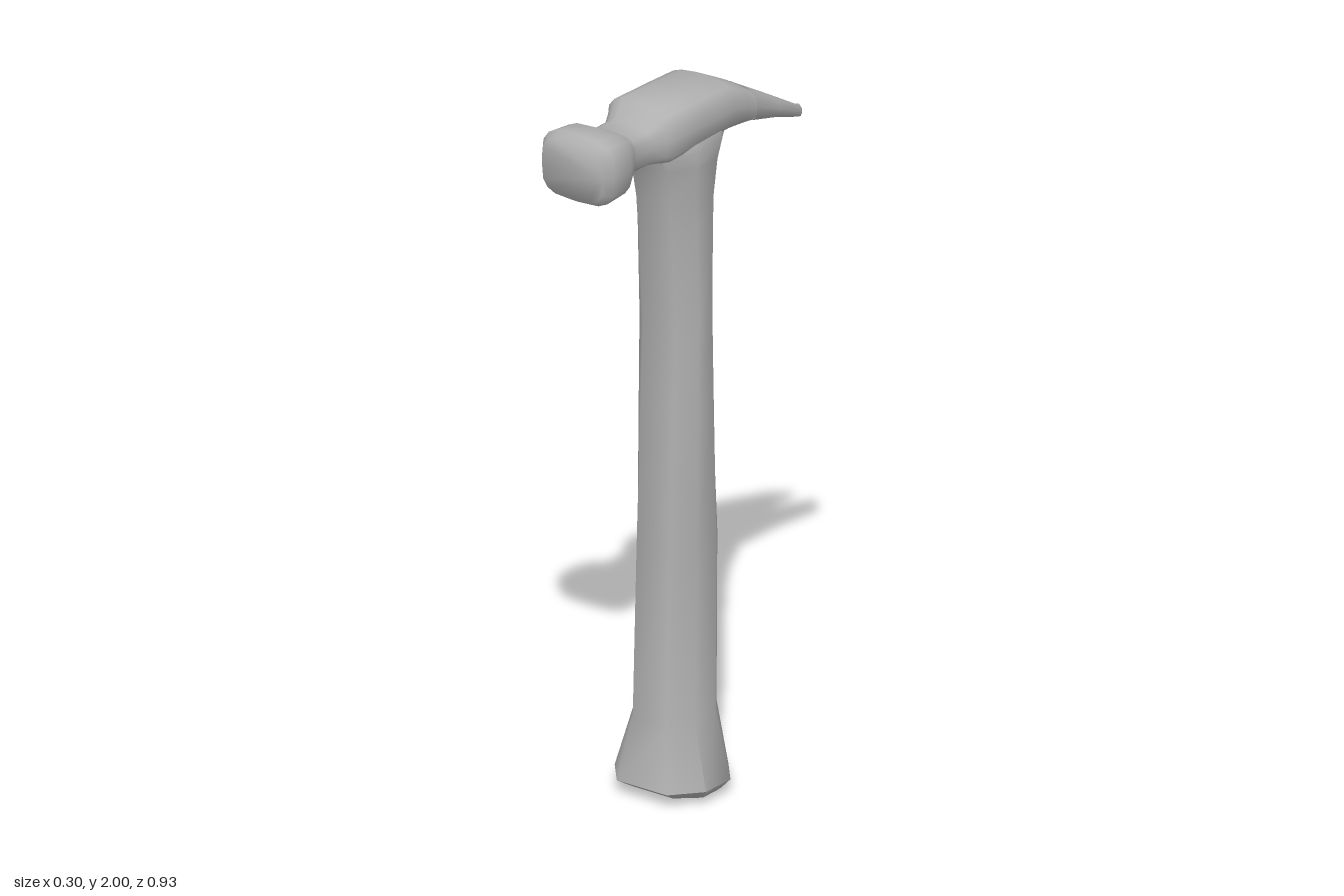
import * as THREE from 'three';
import { toCreasedNormals } from 'three/addons/utils/BufferGeometryUtils.js';

const steel = new THREE.MeshStandardMaterial({ color: 0xb0b0b0 });
steel.name = 'grey';

// Skins a list of equal-length rings (counter-clockwise seen from the far end) and caps both ends.
function loft(name, rings) {
  const n = rings[0].length, pos = [], index = [];
  rings.forEach(r => r.forEach(p => pos.push(...p)));
  for (let k = 0; k < rings.length - 1; k++) {
    for (let i = 0; i < n; i++) {
      const a = k * n + i, b = k * n + (i + 1) % n;
      index.push(a, b, b + n, a, b + n, a + n);
    }
  }
  const last = (rings.length - 1) * n;
  for (let i = 1; i < n - 1; i++) {
    index.push(0, i + 1, i, last, last + i, last + i + 1);
  }
  const geo = new THREE.BufferGeometry();
  geo.setAttribute('position', new THREE.Float32BufferAttribute(pos, 3));
  geo.setIndex(index);
  const mesh = new THREE.Mesh(toCreasedNormals(geo, 1.1), steel);
  mesh.name = name;
  return mesh;
}

// Rounded-square curve
const soft = v => Math.sign(v) * Math.abs(v) ** 0.6;

// Handle: [y, half width, back z, front z], octagonal sections
function handle() {
  const octagon = [[1, 0.4], [0.55, 1], [-0.55, 1], [-1, 0.4], [-1, -0.4], [-0.55, -1], [0.55, -1], [1, -0.4]];
  const sections = [
    [0, 0.11, -0.055, 0.09], [0.012, 0.125, -0.07, 0.12], [0.04, 0.15, -0.1, 0.165],
    [0.22, 0.1, -0.085, 0.132], [0.7, 0.098, -0.09, 0.117], [1.1, 0.098, -0.067, 0.1],
    [1.33, 0.098, -0.055, 0.09], [1.6, 0.098, -0.063, 0.105], [1.7, 0.1, -0.07, 0.117],
    [1.8, 0.108, -0.085, 0.133], [1.85, 0.111, -0.115, 0.158], [1.88, 0.1, -0.12, 0.15],
  ];
  return loft('handle', sections.map(([y, w, z0, z1]) =>
    octagon.map(([x, z]) => [x * w, y, (z0 + z1) / 2 - z * (z1 - z0) / 2])));
}

// Head with striking face: [z, half width, bottom y, top y]
function head() {
  const sections = [
    [-0.195, 0.105, 1.834, 1.936], [-0.15, 0.109, 1.84, 1.96], [-0.09, 0.112, 1.845, 1.988],
    [0.04, 0.113, 1.84, 1.993], [0.165, 0.113, 1.835, 1.996], [0.182, 0.1, 1.838, 1.983],
    [0.225, 0.08, 1.845, 1.957], [0.29, 0.079, 1.845, 1.957], [0.31, 0.087, 1.836, 1.965],
    [0.36, 0.115, 1.812, 1.992], [0.44, 0.119, 1.808, 2], [0.465, 0.1, 1.822, 1.985],
  ];
  return loft('head', sections.map(([z, w, y0, y1]) => Array.from({ length: 16 }, (_, i) => {
    const t = i / 16 * Math.PI * 2;
    return [w * soft(Math.cos(t)), (y0 + y1) / 2 + (y1 - y0) / 2 * soft(Math.sin(t)), z];
  })));
}

// One claw prong: [z, slot x, outer x, bottom y, top y]
function prong(name, side) {
  const sections = [
    [-0.467, 0.033, 0.037, 1.77, 1.782], [-0.445, 0.032, 0.062, 1.763, 1.79],
    [-0.41, 0.03, 0.087, 1.772, 1.811], [-0.3, 0.022, 0.097, 1.808, 1.876],
    [-0.195, 0.015, 0.105, 1.834, 1.936],
  ];
  return loft(name, sections.map(([z, x0, x1, y0, y1]) => {
    const ring = Array.from({ length: 9 }, (_, i) => {
      const t = (i / 8 - 0.5) * Math.PI;
      const c = i % 8 ? soft(Math.cos(t)) : 0;
      return [side * (x0 + (x1 - x0) * c), (y0 + y1) / 2 + (y1 - y0) / 2 * soft(Math.sin(t)), z];
    });
    return side > 0 ? ring : ring.reverse();
  }));
}

export function createModel() {
  const group = new THREE.Group();
  group.name = 'clawHammer';
  group.add(handle(), head(), prong('leftClaw', 1), prong('rightClaw', -1));
  return group;
}
